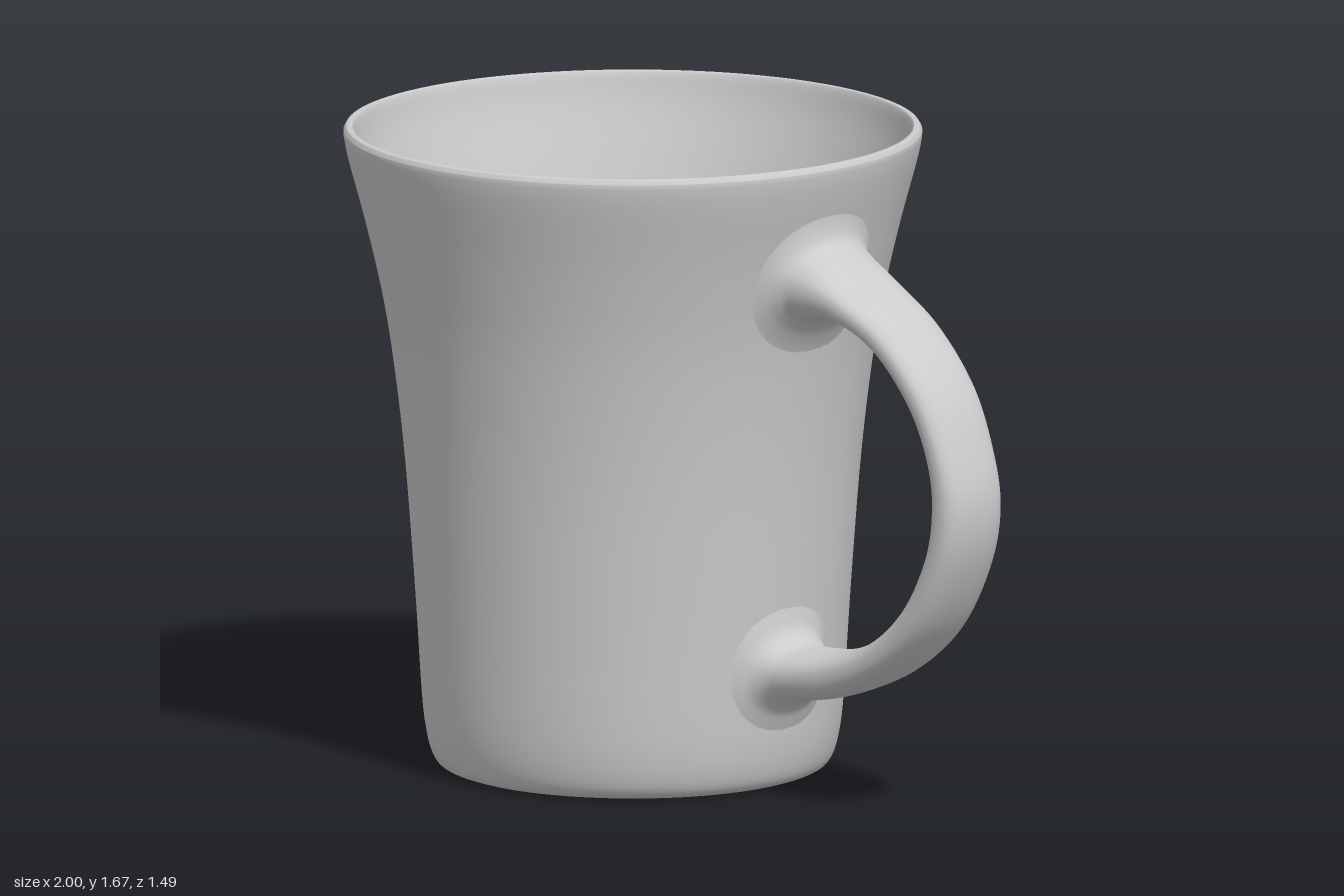
import * as THREE from 'three';

const CUP_X = -0.255;
const spline = (pts, n) =>
  new THREE.SplineCurve(pts.map(([x, y]) => new THREE.Vector2(x, y))).getPoints(n);

// Outer wall, from the foot up to the rim
const outerWall = spline([
  [0.475, 0], [0.503, 0.013], [0.522, 0.05], [0.536, 0.12], [0.545, 0.22], [0.556, 0.4], [0.57, 0.6],
  [0.586, 0.8], [0.608, 1.0], [0.638, 1.2], [0.682, 1.4], [0.73, 1.58], [0.743, 1.64], [0.744, 1.66],
], 90);

// Rounded rim, inner wall and floor
const inside = spline([
  [0.738, 1.67], [0.728, 1.672], [0.718, 1.662], [0.7, 1.58], [0.645, 1.4], [0.593, 1.2], [0.56, 1.0],
  [0.535, 0.8], [0.517, 0.6], [0.502, 0.4], [0.49, 0.24], [0.48, 0.15], [0.455, 0.1], [0.41, 0.08],
], 80);

// Slightly recessed underside
const underside = spline([[0.38, 0.022], [0.43, 0.018], [0.455, 0.004], [0.475, 0]], 12);

// Outer radius of the wall at height y
function wallRadius(y) {
  const i = Math.max(1, outerWall.findIndex((p) => p.y >= y));
  const a = outerWall[i - 1], b = outerWall[i];
  return THREE.MathUtils.mapLinear(y, a.y, b.y, a.x, b.x);
}

const power = (v, e) => Math.sign(v) * Math.abs(v) ** e;

// Handle section between an outer and an inner edge point, half width w
const section = (ox, oy, ix, iy, w) => (t) => {
  const c = power(Math.cos(t), 0.8) / 2;
  return new THREE.Vector3(
    (ox + ix) / 2 + (ox - ix) * c, (oy + iy) / 2 + (oy - iy) * c, w * power(Math.sin(t), 0.8));
};

// Fillet section wrapped round the cup wall at distance d from it
const root = (cy, h, w, d) => (t) => {
  const y = cy + h * power(Math.cos(t), 0.9), z = w * power(Math.sin(t), 0.9);
  return new THREE.Vector3(CUP_X + Math.sqrt(wallRadius(y) ** 2 - z * z) + d, y, z);
};

function handleGeometry() {
  const sections = [
    root(1.35, 0.215, 0.225, -0.008),
    root(1.35, 0.165, 0.195, 0.006),
    root(1.352, 0.12, 0.168, 0.028),
    root(1.353, 0.092, 0.15, 0.065),
    section(0.58, 1.385, 0.57, 1.268, 0.132),
    section(0.75, 1.285, 0.7, 1.207, 0.117),
    section(0.89, 1.14, 0.815, 1.08, 0.11),
    section(0.97, 0.97, 0.872, 0.95, 0.105),
    section(0.998, 0.83, 0.885, 0.83, 0.105),
    section(0.968, 0.68, 0.86, 0.7, 0.105),
    section(0.87, 0.5, 0.78, 0.56, 0.105),
    section(0.72, 0.37, 0.66, 0.455, 0.105),
    section(0.54, 0.288, 0.52, 0.403, 0.105),
    root(0.322, -0.07, 0.112, 0.095),
    root(0.32, -0.082, 0.12, 0.05),
    root(0.32, -0.108, 0.14, 0.02),
    root(0.322, -0.145, 0.165, 0.005),
    root(0.325, -0.19, 0.19, -0.008),
  ];
  const around = 40, along = 110;
  const curves = Array.from({ length: around }, (_, j) =>
    new THREE.CatmullRomCurve3(sections.map((s) => s((j / around) * Math.PI * 2)), false, 'catmullrom', 0.5));

  const positions = [], index = [];
  for (let i = 0; i <= along; i++) {
    for (let j = 0; j < around; j++) {
      positions.push(...curves[j].getPoint(i / along).toArray());
      if (i === along) continue;
      const a = i * around + j, b = i * around + ((j + 1) % around);
      index.push(a, b, a + around, b, b + around, a + around);
    }
  }
  const geometry = new THREE.BufferGeometry();
  geometry.setAttribute('position', new THREE.Float32BufferAttribute(positions, 3));
  geometry.setIndex(index);
  geometry.computeVertexNormals();
  return geometry;
}

export function createModel() {
  const group = new THREE.Group();
  group.name = 'mug';
  const material = new THREE.MeshStandardMaterial({ color: 0xcccccc });

  // Hollow cup turned in one piece
  const profile = [
    new THREE.Vector2(0, 0.022), ...underside, ...outerWall.slice(1), ...inside, new THREE.Vector2(0, 0.08),
  ];
  const cup = new THREE.Mesh(new THREE.LatheGeometry(profile, 128), material);
  cup.name = 'cup';
  cup.position.x = CUP_X;

  // Curved handle with flared roots
  const handle = new THREE.Mesh(handleGeometry(), material);
  handle.name = 'handle';

  group.add(cup, handle);
  return group;
}
